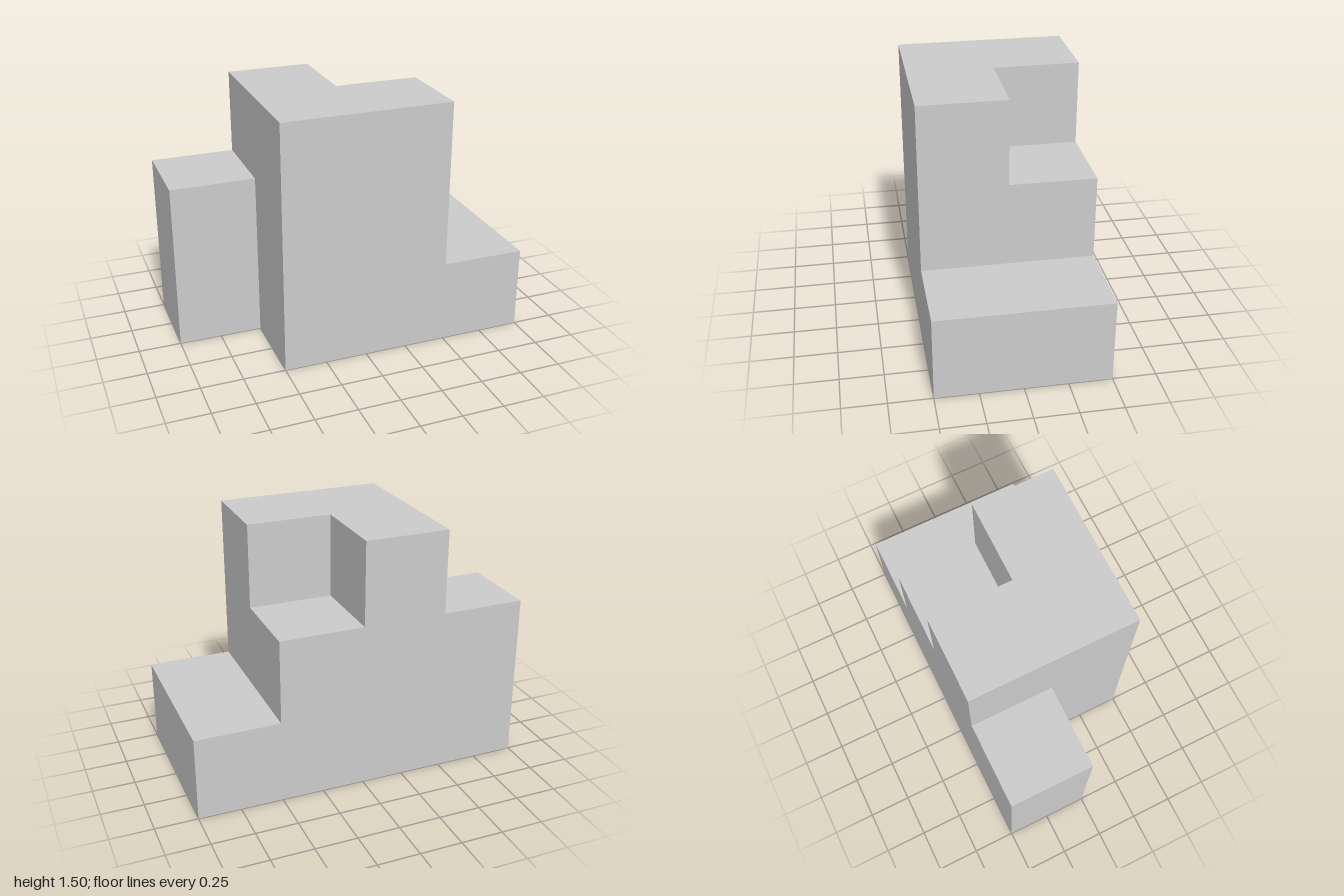
import * as THREE from 'three';

const DEPTH = 0.5;

// Stepped slab: an x-y outline extruded towards +z from the given back plane
function steppedSlab(name, outline, backZ, material) {
  const shape = new THREE.Shape(outline.map(([x, y]) => new THREE.Vector2(x, y)));
  const geometry = new THREE.ExtrudeGeometry(shape, { depth: DEPTH, bevelEnabled: false });
  const mesh = new THREE.Mesh(geometry, material);
  mesh.name = name;
  mesh.position.z = backZ;
  return mesh;
}

export function createModel() {
  const group = new THREE.Group();
  group.name = 'steppedBlock';
  const material = new THREE.MeshStandardMaterial({ color: 0xcccccc, flatShading: true });

  // Front half: tall block with a low step on its left
  const frontOutline = [
    [-0.5, 0], [1, 0], [1, 0.5], [0.5, 0.5], [0.5, 1.5], [-0.5, 1.5],
  ];

  // Back half: staircase up to a narrow top, with a side block on its right
  const backOutline = [
    [-1, 0], [1, 0], [1, 0.5], [0.5, 0.5], [0.5, 1],
    [0, 1], [0, 1.5], [-0.5, 1.5], [-0.5, 1], [-1, 1],
  ];

  group.add(
    steppedSlab('frontHalf', frontOutline, 0, material),
    steppedSlab('backHalf', backOutline, -DEPTH, material),
  );
  return group;
}
